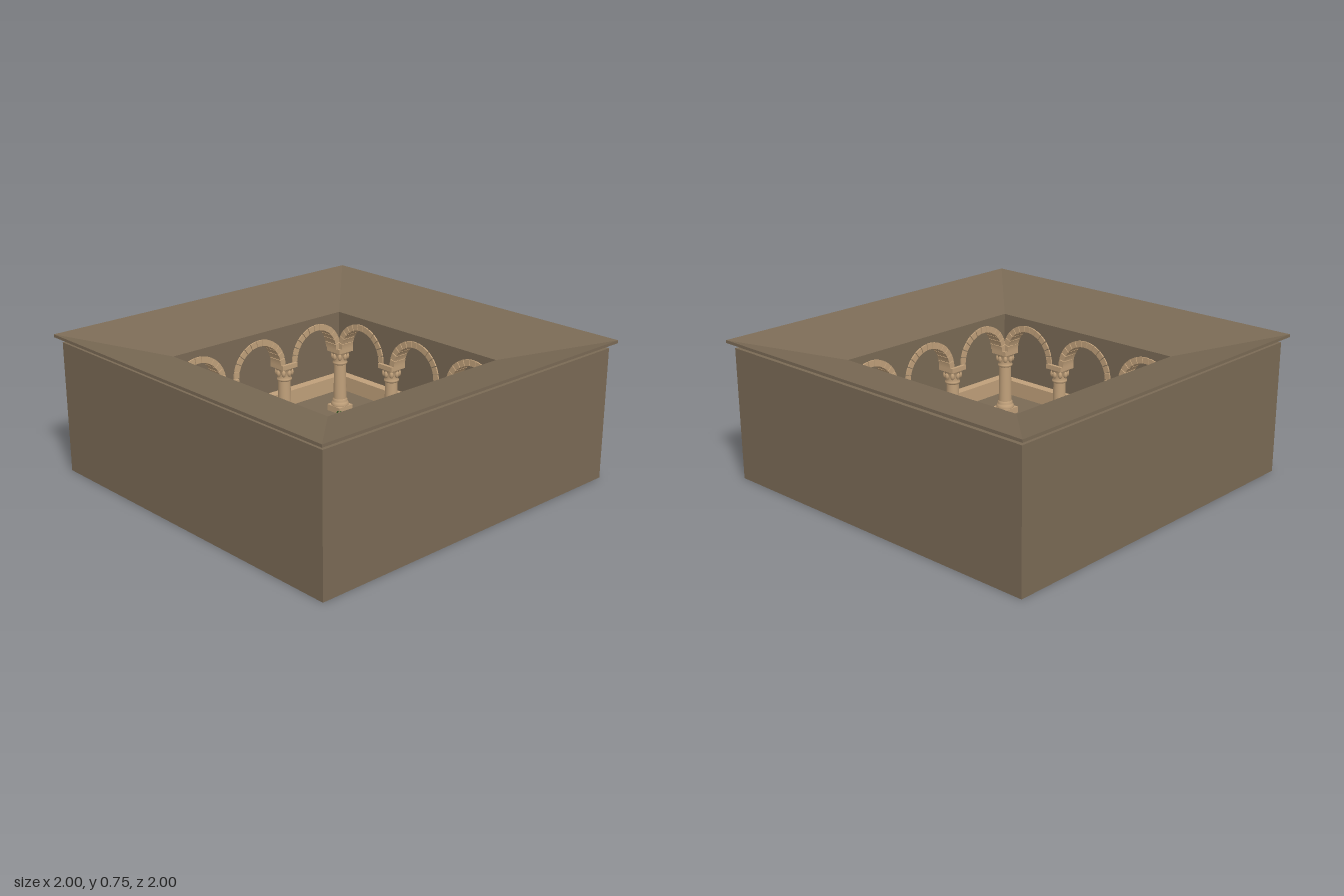
import * as THREE from 'three';
import { mergeGeometries } from 'three/addons/utils/BufferGeometryUtils.js';

const paint = (name, color, side = THREE.FrontSide) => {
  const m = new THREE.MeshStandardMaterial({ color, side });
  m.name = name;
  return m;
};

export function createModel() {
  const model = new THREE.Group();
  model.name = 'cloister';
  const stone = paint('brown stone', 0x7a6a55);
  const tan = paint('tan stone', 0xc0a07a);
  const grass = paint('grass', 0x5c5733);
  const leafDark = paint('dark leaf', 0x2f5122, THREE.DoubleSide);
  const leafLight = paint('light leaf', 0x4a7030, THREE.DoubleSide);

  let seed = 7;
  const rnd = () => (seed = (seed * 16807) % 2147483647) / 2147483647;

  const add = (parent, name, geo, mat, x = 0, y = 0, z = 0) => {
    const mesh = new THREE.Mesh(geo, mat);
    mesh.name = name;
    mesh.position.set(x, y, z);
    parent.add(mesh);
    return mesh;
  };

  // Square frame: a closed profile of [half width, y], swept round four corners
  const squareRing = (profile) => {
    const pts = [...profile, profile[0]].map(([r, y]) => new THREE.Vector2(r * Math.SQRT2, y));
    const g = new THREE.LatheGeometry(pts, 4, Math.PI / 4).toNonIndexed();
    g.computeVertexNormals();
    return g;
  };
  const rect = (a, b, y0, y1) => [[a, y0], [b, y0], [b, y1], [a, y1]];

  // Shell: floor, outer walls, wall bench, inward-sloping roof and its cornice
  add(model, 'floor', new THREE.BoxGeometry(1.94, 0.02, 1.94), stone, 0, 0.01, 0);
  add(model, 'outerWalls', squareRing(rect(0.93, 0.97, 0.02, 0.703)), stone);
  add(model, 'wallBench', squareRing(rect(0.875, 0.93, 0.02, 0.11)), tan);
  add(model, 'roof', squareRing([[0.575, 0.616], [1, 0.73], [1, 0.745], [0.575, 0.634]]), stone);
  add(model, 'innerCornice', squareRing(rect(0.578, 0.6, 0.6, 0.622)), stone);

  // Arcades: three arched bays on each side, turned about the courtyard
  const line = 0.625, bay = 0.4133, spring = 0.41, radius = 0.15;
  const wall = new THREE.Shape();
  wall.moveTo(-0.66, spring);
  for (const i of [-1, 0, 1]) {
    wall.lineTo(i * bay - radius, spring);
    wall.absarc(i * bay, spring, radius, Math.PI, 0, true);
  }
  wall.lineTo(0.59, spring);
  wall.lineTo(0.59, 0.63);
  wall.lineTo(-0.66, 0.63);
  const wallGeo = new THREE.ExtrudeGeometry(wall, { depth: 0.07, bevelEnabled: false, curveSegments: 14 });

  // Wedge stones of an arch or ring
  const wedges = (count, r0, r1, sweep, depth, gap) => {
    const list = [];
    const step = sweep / count;
    for (let i = 0; i < count; i++) {
      const a = i * step + gap, b = (i + 1) * step - gap;
      const s = new THREE.Shape();
      s.absarc(0, 0, r1, a, b, false);
      s.absarc(0, 0, r0, b, a, true);
      list.push(new THREE.ExtrudeGeometry(s, { depth, bevelEnabled: false, curveSegments: 2 }));
    }
    return mergeGeometries(list);
  };
  const archGeo = wedges(13, radius - 0.004, 0.18, Math.PI, 0.086, 0.012);

  const lathe = (pts, n = 20) => new THREE.LatheGeometry(pts.map(([r, y]) => new THREE.Vector2(r, y)), n);
  const baseGeo = lathe([[0.05, 0.055], [0.052, 0.065], [0.047, 0.078], [0.041, 0.083], [0.044, 0.092], [0.037, 0.1]]);
  const shaftGeo = new THREE.CylinderGeometry(0.034, 0.038, 0.22, 20);
  const capitalGeo = lathe([[0.034, 0.305], [0.042, 0.311], [0.042, 0.319], [0.036, 0.325],
    [0.038, 0.35], [0.045, 0.372], [0.053, 0.385]]);
  const acanthusGeo = new THREE.SphereGeometry(0.012, 8, 6);

  const column = (parent, x, z) => {
    const g = new THREE.Group();
    g.name = 'column';
    g.position.set(x, 0, z);
    add(g, 'plinth', new THREE.BoxGeometry(0.104, 0.04, 0.104), tan, 0, 0.037, 0);
    add(g, 'base', baseGeo, tan);
    add(g, 'shaft', shaftGeo, tan, 0, 0.2, 0);
    add(g, 'capital', capitalGeo, tan);
    for (let i = 0; i < 8; i++) {
      const a = (i * Math.PI) / 4;
      add(g, 'capitalLeaf', acanthusGeo, tan, Math.sin(a) * 0.041, 0.355, Math.cos(a) * 0.041).scale.y = 1.7;
    }
    add(g, 'abacus', new THREE.BoxGeometry(0.106, 0.026, 0.106), tan, 0, 0.397, 0);
    parent.add(g);
  };

  for (let side = 0; side < 4; side++) {
    const arcade = new THREE.Group();
    arcade.name = 'arcade';
    arcade.rotation.y = (side * Math.PI) / 2;
    add(arcade, 'arcadeWall', wallGeo, stone, 0, 0, -0.66);
    for (const i of [-1, 0, 1]) {
      add(arcade, 'archStones', archGeo, tan, i * bay, spring, -0.668);
      column(arcade, (i - 0.5) * bay, -line);
    }
    model.add(arcade);
  }

  // Paved medallion in the middle of the courtyard
  add(model, 'medallionRing', wedges(20, 0.086, 0.125, Math.PI * 2, 0.012, 0.025), tan, 0, 0.02, 0)
    .rotation.x = -Math.PI / 2;
  add(model, 'medallionDisc', new THREE.CylinderGeometry(0.082, 0.082, 0.012, 32), tan, 0, 0.026, 0);

  // Tufts of small tilted leaves
  const leafGeo = new THREE.CircleGeometry(0.009, 5);
  const tuft = (list, x, y, z, spread, count) => {
    for (let i = 0; i < count; i++) {
      const g = leafGeo.clone();
      g.scale(1, 0.7, 1);
      g.rotateX(-Math.PI / 2 + (rnd() - 0.5) * 1.6);
      g.rotateY(rnd() * Math.PI * 2);
      g.translate(x + (rnd() - 0.5) * spread, y + rnd() * spread, z + (rnd() - 0.5) * spread);
      list.push(g);
    }
  };

  // Four garden beds with a chamfered corner towards the middle
  const bedShape = (inset) => {
    const a = 0.142 + inset, b = 0.533 - inset, c = 0.05 - inset * 0.4;
    return new THREE.Shape([[a + c, a], [b, a], [b, b], [a, b], [a, a + c]].map((p) => new THREE.Vector2(...p)));
  };
  const curb = bedShape(0);
  curb.holes.push(bedShape(0.016));
  const curbGeo = new THREE.ExtrudeGeometry(curb, { depth: 0.035, bevelEnabled: false });
  const lawnGeo = new THREE.ExtrudeGeometry(bedShape(0.016), { depth: 0.02, bevelEnabled: false });
  for (let q = 0; q < 4; q++) {
    const bed = new THREE.Group();
    bed.name = 'gardenBed';
    bed.rotation.y = (q * Math.PI) / 2;
    add(bed, 'curb', curbGeo, stone, 0, 0.02, 0).rotation.x = -Math.PI / 2;
    add(bed, 'lawn', lawnGeo, grass, 0, 0.02, 0).rotation.x = -Math.PI / 2;
    const dark = [], light = [];
    for (let i = 0; i < 24; i++) {
      const along = 0.2 + rnd() * 0.3;
      const across = i < 19 ? 0.5 - rnd() * 0.04 : 0.18 + rnd() * 0.08;
      const [x, z] = i % 2 ? [along, -across] : [across, -along];
      tuft(i % 3 ? dark : light, x, 0.042, z, 0.035, 8);
    }
    add(bed, 'darkTufts', mergeGeometries(dark), leafDark);
    add(bed, 'lightTufts', mergeGeometries(light), leafLight);
    model.add(bed);
  }

  // Potted plants in the covered walk
  const potGeo = lathe([[0, 0], [0.03, 0], [0.026, 0.012], [0.042, 0.05], [0.045, 0.075], [0.05, 0.08],
    [0.05, 0.09], [0.04, 0.09], [0, 0.085]]);
  for (const [x, z] of [[-0.15, -0.81], [0.42, 0.77]]) {
    const plant = new THREE.Group();
    plant.name = 'pottedPlant';
    plant.position.set(x, 0.02, z);
    add(plant, 'pot', potGeo, tan);
    const dark = [], light = [];
    tuft(dark, 0, 0.09, 0, 0.09, 45);
    tuft(light, 0, 0.1, 0, 0.1, 40);
    add(plant, 'darkLeaves', mergeGeometries(dark), leafDark);
    add(plant, 'lightLeaves', mergeGeometries(light), leafLight);
    model.add(plant);
  }
  return model;
}
